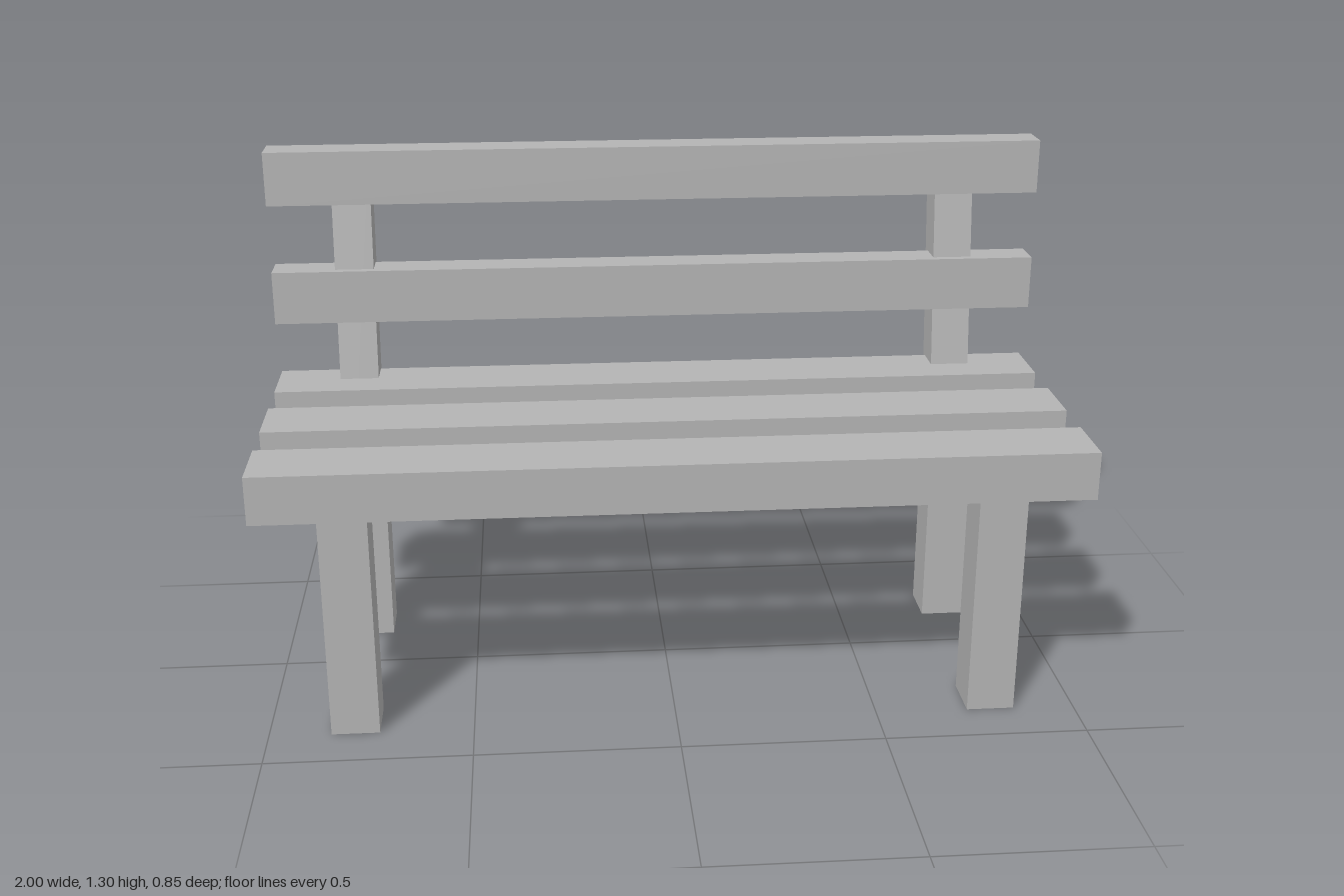
import * as THREE from 'three';

export function createModel() {
  const bench = new THREE.Group();
  bench.name = 'bench';
  const paint = new THREE.MeshStandardMaterial({ color: 0xb4b4b4 });
  paint.name = 'light grey';

  function beam(name, size, position, tilt = 0) {
    const mesh = new THREE.Mesh(new THREE.BoxGeometry(...size), paint);
    mesh.name = name;
    mesh.position.set(...position);
    mesh.rotation.x = tilt;
    bench.add(mesh);
  }

  // Seat slats, front to back
  for (const z of [0.339, 0.049, -0.243]) beam('seatSlat', [2, 0.12, 0.172], [0, 0.643, z]);

  // Backrest slats
  for (const y of [0.921, 1.235]) beam('backSlat', [2, 0.138, 0.09], [0, y, -0.314]);

  // Legs and leaning back posts, mirrored left and right
  for (const [side, s] of [['left', 1], ['right', -1]]) {
    beam(side + 'FrontLeg', [0.118, 0.583, 0.122], [s * 0.789, 0.2915, 0.315]);
    beam(side + 'BackLeg', [0.118, 0.583, 0.12], [s * 0.789, 0.2915, -0.218]);
    beam(side + 'BackPost', [0.1, 1.1, 0.095], [s * 0.789, 0.725, -0.301], -0.136);
  }
  return bench;
}
